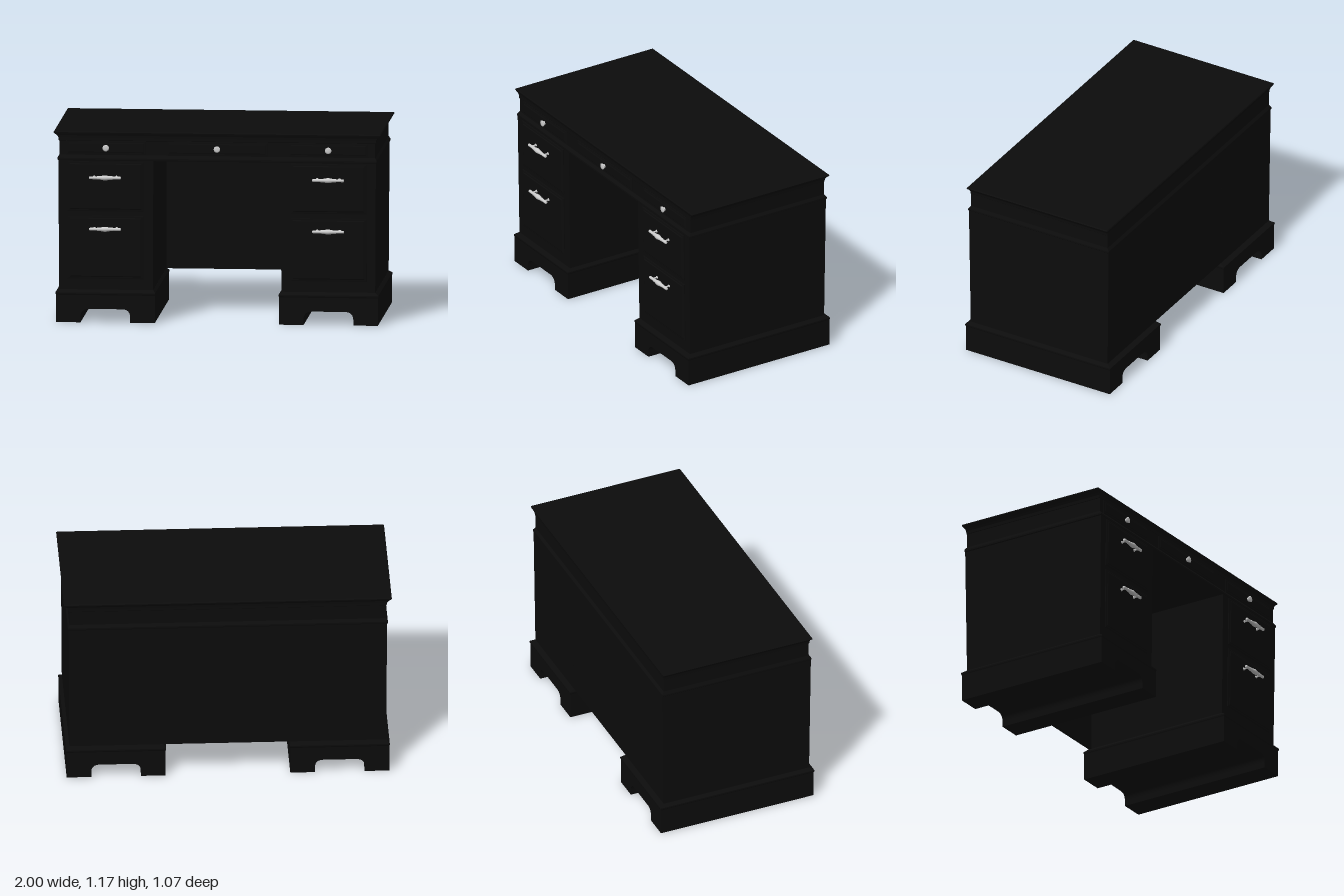
import * as THREE from 'three';

const wood = new THREE.MeshStandardMaterial({ color: 0x0c0c0c });
const metal = new THREE.MeshStandardMaterial({ color: 0xcccccc });

// Solid lofted through rectangular rings [y, x0, x1, z0, z1], listed bottom to top
function stack(rings) {
  const pos = [];
  const corners = ([y, x0, x1, z0, z1]) => [[x0, y, z1], [x1, y, z1], [x1, y, z0], [x0, y, z0]];
  const quad = (a, b, c, d) => pos.push(...a, ...b, ...c, ...a, ...c, ...d);
  for (let r = 0; r < rings.length - 1; r++) {
    const lo = corners(rings[r]), hi = corners(rings[r + 1]);
    for (let i = 0; i < 4; i++) {
      const j = (i + 1) % 4;
      quad(lo[i], lo[j], hi[j], hi[i]);
    }
  }
  const b = corners(rings[0]), t = corners(rings[rings.length - 1]);
  quad(b[3], b[2], b[1], b[0]);
  quad(t[0], t[1], t[2], t[3]);
  const g = new THREE.BufferGeometry();
  g.setAttribute('position', new THREE.Float32BufferAttribute(pos, 3));
  g.computeVertexNormals();
  return g;
}

function add(parent, name, geometry, material = wood) {
  const mesh = new THREE.Mesh(geometry, material);
  mesh.name = name;
  parent.add(mesh);
  return mesh;
}

// Drawer front with a stepped, bevelled edge; grows from z = 0 to z = depth
function drawerFront(w, h, depth) {
  const ring = (z, inset) => [z, inset - w / 2, w / 2 - inset, inset - h / 2, h / 2 - inset];
  const rings = [ring(-0.01, 0), ring(depth * 0.5, 0), ring(depth * 0.65, 0.008), ring(depth * 0.65, 0.012), ring(depth, 0.018)];
  return stack(rings).rotateX(Math.PI / 2);
}

// Small round knob facing +z
function knob() {
  const profile = [[0.013, 0], [0.013, 0.003], [0.007, 0.006], [0.008, 0.009], [0.019, 0.012], [0.02, 0.017], [0.013, 0.02], [0, 0.02]];
  return new THREE.LatheGeometry(profile.map(p => new THREE.Vector2(...p)), 24).rotateX(Math.PI / 2);
}

// Bar pull: a bar swelling at the middle, on two posts with rosettes
function barPull() {
  const pull = new THREE.Group();
  pull.name = 'barPull';
  const half = [[0, 0.097], [0.006, 0.097], [0.009, 0.093], [0.009, 0.05], [0.011, 0.046], [0.011, 0.03], [0.014, 0.015], [0.016, 0]];
  const profile = [...half.map(([r, y]) => [r, -y]), ...half.slice(0, -1).reverse()];
  const bar = new THREE.LatheGeometry(profile.map(p => new THREE.Vector2(...p)), 20).rotateZ(Math.PI / 2);
  add(pull, 'pullBar', bar, metal).position.z = 0.033;
  for (const s of [-1, 1]) {
    add(pull, 'pullPost', new THREE.CylinderGeometry(0.005, 0.005, 0.04, 12).rotateX(Math.PI / 2), metal)
      .position.set(s * 0.068, 0, 0.014);
    add(pull, 'pullRosette', new THREE.CylinderGeometry(0.007, 0.011, 0.006, 16).rotateX(Math.PI / 2), metal)
      .position.set(s * 0.068, 0, 0.001);
  }
  return pull;
}

// Plinth with an arched channel between its two runners
function plinth() {
  const s = new THREE.Shape();
  s.moveTo(-0.302, 0);
  s.lineTo(-0.152, 0);
  s.lineTo(-0.152, 0.035);
  s.quadraticCurveTo(-0.15, 0.083, -0.1, 0.083);
  s.lineTo(0.1, 0.083);
  s.quadraticCurveTo(0.15, 0.083, 0.152, 0.035);
  s.lineTo(0.152, 0);
  s.lineTo(0.302, 0);
  s.lineTo(0.302, 0.17);
  s.lineTo(-0.302, 0.17);
  s.closePath();
  return new THREE.ExtrudeGeometry(s, { depth: 1.017, bevelEnabled: false, curveSegments: 10 }).translate(0, 0, -0.527);
}

export function createModel() {
  const desk = new THREE.Group();
  desk.name = 'desk';
  const taper = 0.0125; // the body leans out slightly towards the top
  const frontAt = y => 0.467 + (y - 0.2) * taper;

  // Top: waist moulding, frieze, cove and table top
  const band = (y, x, front, back) => [y, -x, x, back, front];
  add(desk, 'waistMoulding', stack([
    band(0.995, 0.972, 0.477, -0.511), band(1.0, 0.976, 0.479, -0.514),
    band(1.01, 0.976, 0.479, -0.514), band(1.028, 0.966, 0.465, -0.501)]));
  add(desk, 'frieze', stack([band(1.02, 0.966, 0.465, -0.501), band(1.13, 0.966, 0.465, -0.501)]));
  add(desk, 'tableTop', stack([
    band(1.115, 0.966, 0.465, -0.501), band(1.118, 0.969, 0.467, -0.503), band(1.135, 0.971, 0.467, -0.504),
    band(1.148, 0.98, 0.469, -0.507), band(1.16, 0.995, 0.475, -0.516),
    band(1.167, 1, 0.477, -0.518), band(1.173, 0.995, 0.473, -0.514)]));

  // Back panel closing the kneehole
  add(desk, 'backPanel', stack([
    [0.2, -0.42, 0.42, -0.501, -0.48], [1.0, -0.42, 0.42, -0.511, -0.49]]));

  // Pedestals, mirrored left and right
  for (const side of [-1, 1]) {
    const pedestal = new THREE.Group();
    pedestal.name = side > 0 ? 'leftPedestal' : 'rightPedestal';
    pedestal.position.x = side * 0.682;
    desk.add(pedestal);

    const box = (y, outer, inner, front, back) => {
      const a = side * (outer - 0.682), b = side * (inner - 0.682);
      return [y, Math.min(a, b), Math.max(a, b), back, front];
    };
    add(pedestal, 'cabinet', stack([box(0.19, 0.966, 0.392, 0.467, -0.501), box(1.0, 0.971, 0.39, 0.477, -0.511)]));
    add(pedestal, 'plinth', plinth());
    add(pedestal, 'plinthMoulding', stack([
      box(0.168, 0.984, 0.38, 0.49, -0.527), box(0.176, 0.987, 0.377, 0.494, -0.531),
      box(0.184, 0.987, 0.377, 0.494, -0.531), box(0.2, 0.967, 0.391, 0.468, -0.502)]));

    // Two deep drawers with bar pulls
    for (const [y0, y1, pullY] of [[0.683, 0.99, 0.895], [0.267, 0.655, 0.578]]) {
      const y = (y0 + y1) / 2;
      const drawer = new THREE.Group();
      drawer.name = 'deepDrawer';
      drawer.position.set(0, y, frontAt(y));
      drawer.rotation.x = taper;
      add(drawer, 'drawerFront', drawerFront(0.465, y1 - y0, 0.01));
      const pull = barPull();
      pull.position.set(0, pullY - y, 0.01);
      drawer.add(pull);
      pedestal.add(drawer);
    }
  }

  // Three shallow frieze drawers with knobs
  for (const [x, w] of [[-0.68, 0.49], [0, 0.62], [0.68, 0.49]]) {
    const drawer = new THREE.Group();
    drawer.name = 'friezeDrawer';
    drawer.position.set(x, 1.073, 0.465);
    add(drawer, 'drawerFront', drawerFront(w, 0.086, 0.006));
    add(drawer, 'knob', knob(), metal).position.z = 0.005;
    desk.add(drawer);
  }
  return desk;
}
